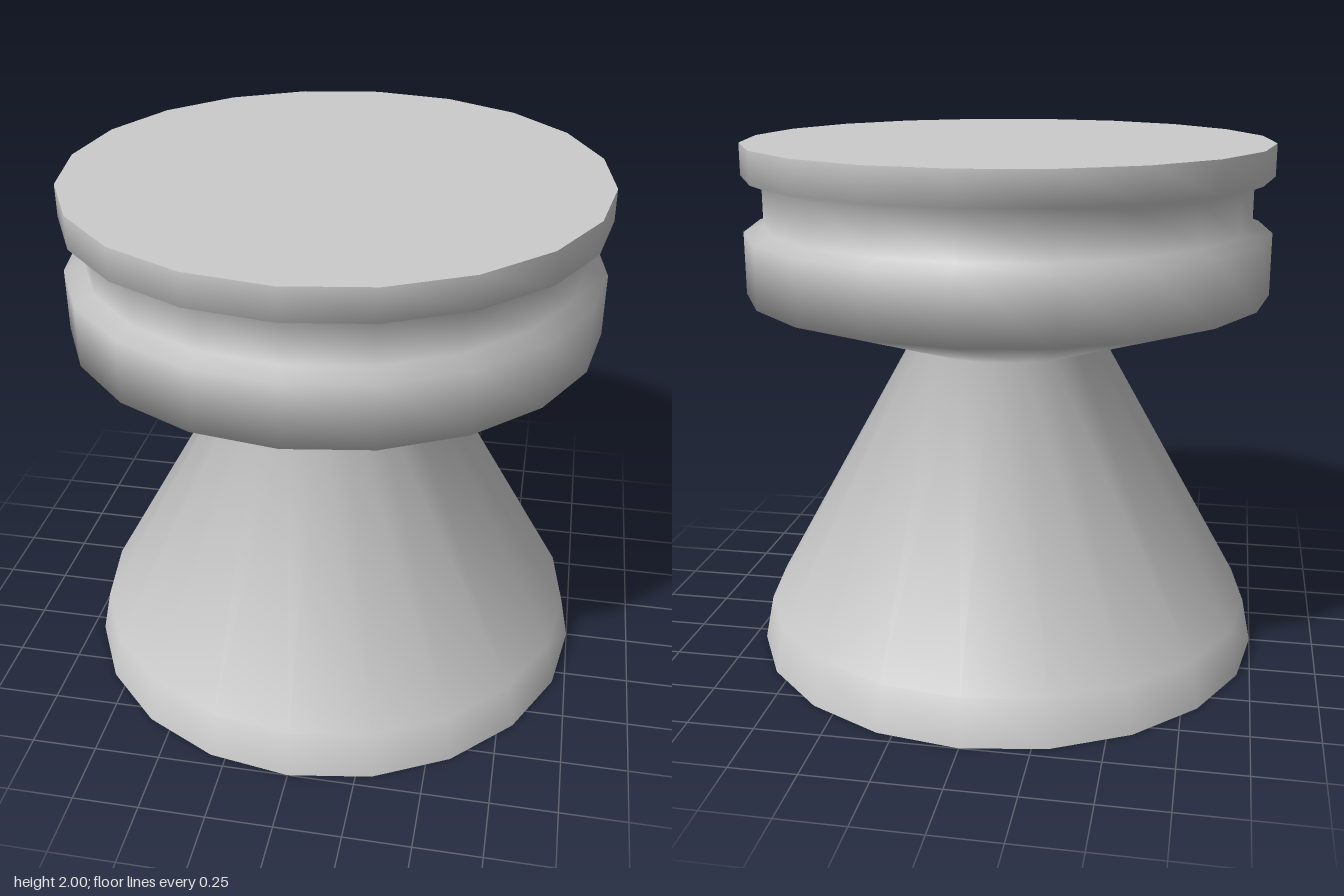
import * as THREE from 'three';

const SIDES = 20;

export function createModel() {
  const group = new THREE.Group();
  const material = new THREE.MeshStandardMaterial({ color: 0xcccccc });

  // Turns a profile of [radius, height] pairs around the y axis.
  function turn(name, profile) {
    const points = profile.map(([r, y]) => new THREE.Vector2(r, y));
    const mesh = new THREE.Mesh(new THREE.LatheGeometry(points, SIDES), material);
    mesh.name = name;
    group.add(mesh);
  }

  // Outer skin: flared foot, narrow waist, grooved head
  turn('outerBody', [
    [1, 0], [0.965, 0.175], [0.38, 1.225],
    [1, 1.435], [1, 1.67], [0.925, 1.695], [0.925, 1.85], [1, 1.88], [1, 2],
  ]);

  // Flat top of the head
  turn('topCap', [[1, 2], [0, 2]]);

  // Flat ring the foot stands on
  turn('footRim', [[0.92, 0], [1, 0]]);

  // Hollow inside of the foot, with its closed end at the waist
  turn('footCavity', [[0.3, 1.2], [0.89, 0.15], [0.92, 0]]);
  turn('cavityEnd', [[0, 1.2], [0.3, 1.2]]);

  return group;
}
